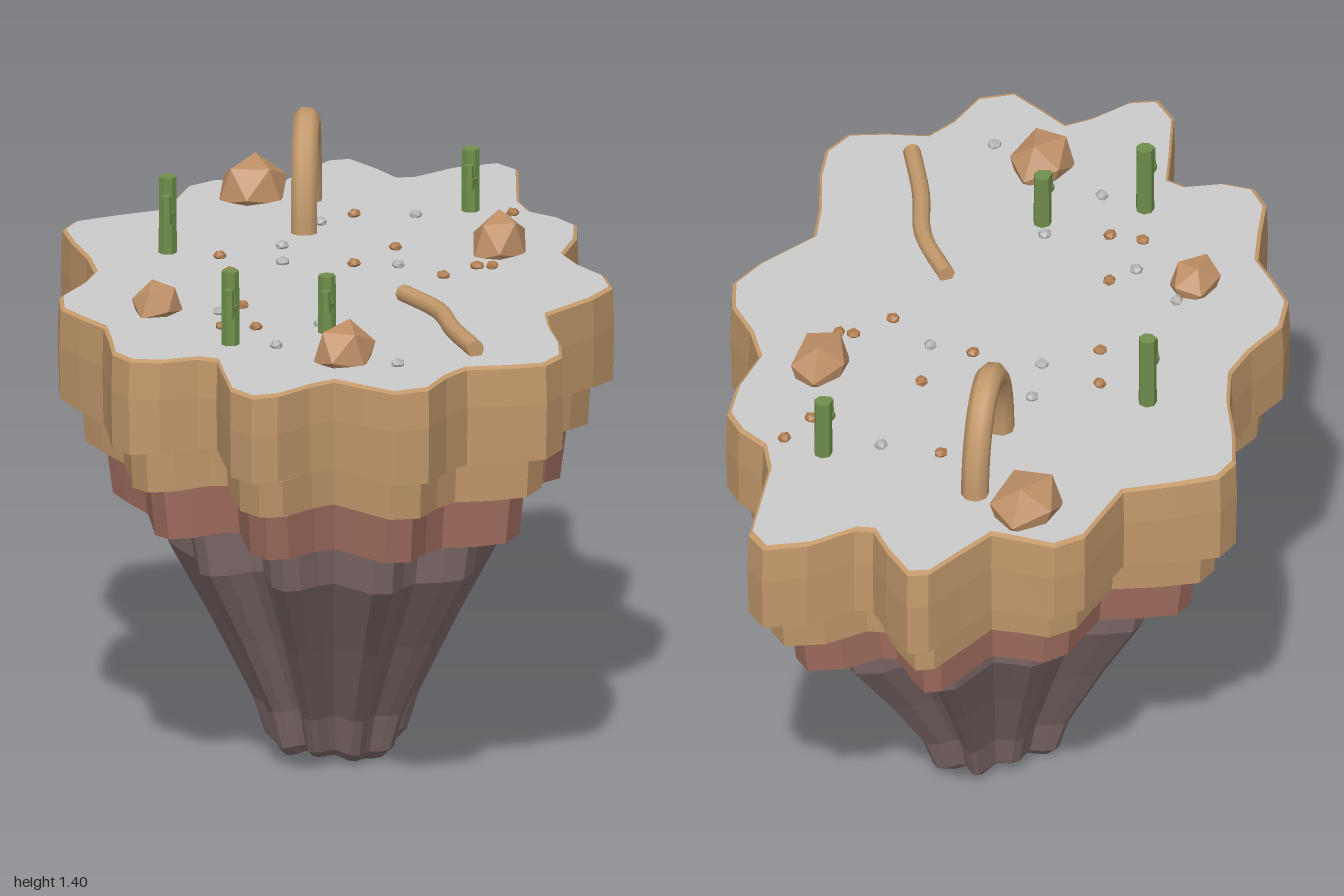
import * as THREE from 'three';

const mat = (name, color) => {
  const m = new THREE.MeshStandardMaterial({ color });
  m.name = name;
  return m;
};

// Closed rim of the island as x, z pairs, starting at the back tip
const RIM = [
  0.01, -1, 0.07, -0.97, 0.12, -0.85, 0.17, -0.73, 0.23, -0.66, 0.31, -0.64, 0.37, -0.6, 0.41, -0.5,
  0.43, -0.37, 0.5, -0.3, 0.59, -0.24, 0.64, -0.16, 0.63, -0.06, 0.58, 0.1, 0.63, 0.2, 0.7, 0.31,
  0.74, 0.4, 0.73, 0.48, 0.66, 0.53, 0.57, 0.58, 0.55, 0.66, 0.55, 0.77, 0.49, 0.83, 0.4, 0.81,
  0.32, 0.79, 0.28, 0.85, 0.24, 0.95, 0.19, 0.99, 0.12, 0.95, 0.05, 0.83, 0, 0.74, -0.05, 0.74,
  -0.12, 0.8, -0.19, 0.82, -0.25, 0.78, -0.3, 0.68, -0.35, 0.59, -0.43, 0.54, -0.5, 0.49, -0.54, 0.4,
  -0.53, 0.28, -0.54, 0.18, -0.6, 0.08, -0.68, -0.02, -0.74, -0.11, -0.74, -0.18, -0.67, -0.26, -0.58, -0.35,
  -0.59, -0.46, -0.6, -0.55, -0.56, -0.62, -0.48, -0.64, -0.41, -0.66, -0.39, -0.76, -0.37, -0.87, -0.33, -0.9,
  -0.24, -0.85, -0.17, -0.8, -0.13, -0.82, -0.07, -0.93,
];

// Loft through scaled copies of the rim, top to bottom; ring = [scale, y, wave height]
function loft(rings) {
  const n = RIM.length / 2, pos = [], index = [];
  rings.forEach(([s, y, wave = 0], r) => {
    for (let i = 0; i < n; i++) {
      const x = RIM[2 * i], z = RIM[2 * i + 1], a = Math.atan2(z, x);
      pos.push(x * s, y + wave * Math.sin(5 * a + 1) , z * s);
      if (r === 0) continue;
      const j = (i + 1) % n, t = (r - 1) * n, b = r * n;
      index.push(t + i, t + j, b + i, t + j, b + j, b + i);
    }
  });
  const g = new THREE.BufferGeometry();
  g.setAttribute('position', new THREE.Float32BufferAttribute(pos, 3));
  g.setIndex(index);
  return flat(g);
}

function flat(g) {
  const f = g.index ? g.toNonIndexed() : g;
  f.computeVertexNormals();
  return f;
}

export function createModel() {
  const root = new THREE.Group();
  root.name = 'floatingIsland';
  const sandstone = mat('sandstone', 0xc49a6c);
  const clay = mat('red clay', 0xa67162);
  const bedrock = mat('dark bedrock', 0x846e6e);
  const ground = mat('pale ground', 0xcccccc);
  const boulderTan = mat('boulder tan', 0xbf9068);
  const pebbleBrown = mat('pebble brown', 0xb07c50);
  const pebbleGrey = mat('pebble grey', 0xb4b4b4);
  const green = mat('cactus green', 0x708f4c);

  const add = (name, geometry, material, x = 0, y = 0, z = 0, parent = root) => {
    const m = new THREE.Mesh(geometry, material);
    m.name = name;
    m.position.set(x, y, z);
    parent.add(m);
    return m;
  };

  // Stacked strata
  add('groundCap', loft([[0, 1.136], [0.98, 1.136]]), ground);
  add('upperStratum', loft([[0.975, 1.135], [0.995, 1.13], [1, 1.04], [0.995, 0.91, 0.012], [0.8, 0.9]]), sandstone);
  add('middleStratum', loft([[0.9, 0.92], [0.915, 0.9], [0.905, 0.8, 0.014], [0.7, 0.79]]), sandstone);
  add('lowerStratum', loft([[0.81, 0.82], [0.83, 0.79], [0.805, 0.665, 0.014]]), clay);
  // Tapering rock underneath, closed at the bottom
  add('rockBase', loft([
    [0.805, 0.665, 0.014], [0.64, 0.66, 0.008], [0.605, 0.53, 0.012], [0.45, 0.335, 0.008],
    [0.3, 0.13, 0.006], [0.255, 0.035, 0.008], [0.22, 0.012, 0.01], [0, 0.012],
  ]), bedrock);

  // Stone arch
  const archPoints = [];
  for (let i = 0; i <= 12; i++) {
    const a = (Math.PI * i) / 12, c = Math.cos(a);
    archPoints.push(new THREE.Vector3(-0.245 + 0.045 * c, 1.125 + 0.242 * Math.sin(a), -0.42 + 0.125 * c));
  }
  add('stoneArch', new THREE.TubeGeometry(new THREE.CatmullRomCurve3(archPoints), 24, 0.033, 8), sandstone);

  // Fallen log with closed ends
  const logPoints = [[0.22, 0.12], [0.35, 0.22], [0.44, 0.35], [0.55, 0.48]]
    .map(([x, z]) => new THREE.Vector3(x, 1.152, z));
  const logCurve = new THREE.CatmullRomCurve3(logPoints);
  add('fallenLog', new THREE.TubeGeometry(logCurve, 12, 0.021, 8), sandstone);
  for (const t of [0, 1]) {
    const p = logCurve.getPoint(t);
    const end = add('logEnd', new THREE.CircleGeometry(0.021, 8), sandstone, p.x, p.y, p.z);
    end.lookAt(p.clone().addScaledVector(logCurve.getTangent(t), t ? 1 : -1));
  }

  // Faceted boulders: x, z, half width, half height, half depth, turn
  [
    [-0.425, -0.53, 0.085, 0.085, 0.105, 0.3],
    [-0.28, 0.42, 0.06, 0.06, 0.076, 0.9],
    [0.28, -0.33, 0.068, 0.085, 0.09, 0.5],
    [0.272, 0.615, 0.074, 0.08, 0.094, 0.1],
  ].forEach(([x, z, w, h, d, turn]) => {
    const g = new THREE.IcosahedronGeometry(1, 0);
    g.rotateX(0.55).rotateY(turn).scale(w, h, d);
    add('boulder', flat(g), boulderTan, x, 1.15, z);
  });

  // Cacti, each with one raised arm on the front side: x, z, top
  [[-0.435, -0.025, 1.322], [-0.02, 0.605, 1.315], [0.153, 0.43, 1.275], [0.095, -0.605, 1.288]]
    .forEach(([x, z, top]) => {
      const cactus = new THREE.Group();
      cactus.name = 'cactus';
      cactus.position.set(x, 1.13, z);
      root.add(cactus);
      const h = top - 1.13;
      add('cactusTrunk', flat(new THREE.CylinderGeometry(0.021, 0.022, h, 7)), green, 0, h / 2, 0, cactus);
      const joint = flat(new THREE.CylinderGeometry(0.012, 0.012, 0.05, 6).rotateX(Math.PI / 2));
      add('cactusJoint', joint, green, 0.01, h * 0.53, 0.027, cactus);
      add('cactusArm', flat(new THREE.CylinderGeometry(0.012, 0.014, h * 0.36, 6)), green, 0.014, h * 0.64, 0.044, cactus);
    });

  // Scattered pebbles
  const pebble = flat(new THREE.IcosahedronGeometry(1, 0).scale(0.016, 0.013, 0.018));
  const scatter = (name, material, spots) => spots.forEach(([x, z], i) => {
    add(name, pebble, material, x, 1.141, z).rotation.y = i * 1.3;
  });
  scatter('brownPebble', pebbleBrown, [
    [0.2, -0.61], [0.19, -0.51], [-0.14, -0.46], [0.05, -0.25], [0.285, -0.18], [0.317, -0.195], [0.24, -0.08],
    [0.01, -0.09], [-0.305, -0.03], [-0.235, 0.08], [-0.105, 0.32], [-0.085, 0.495], [-0.01, 0.47],
  ]);
  scatter('greyPebble', pebbleGrey, [
    [-0.005, -0.51], [-0.19, -0.37], [-0.2, -0.16], [0.11, -0.12], [-0.15, -0.04],
    [-0.28, 0.34], [-0.135, 0.39], [0.12, 0.39], [0.09, 0.59], [0.41, 0.62],
  ]);
  return root;
}
